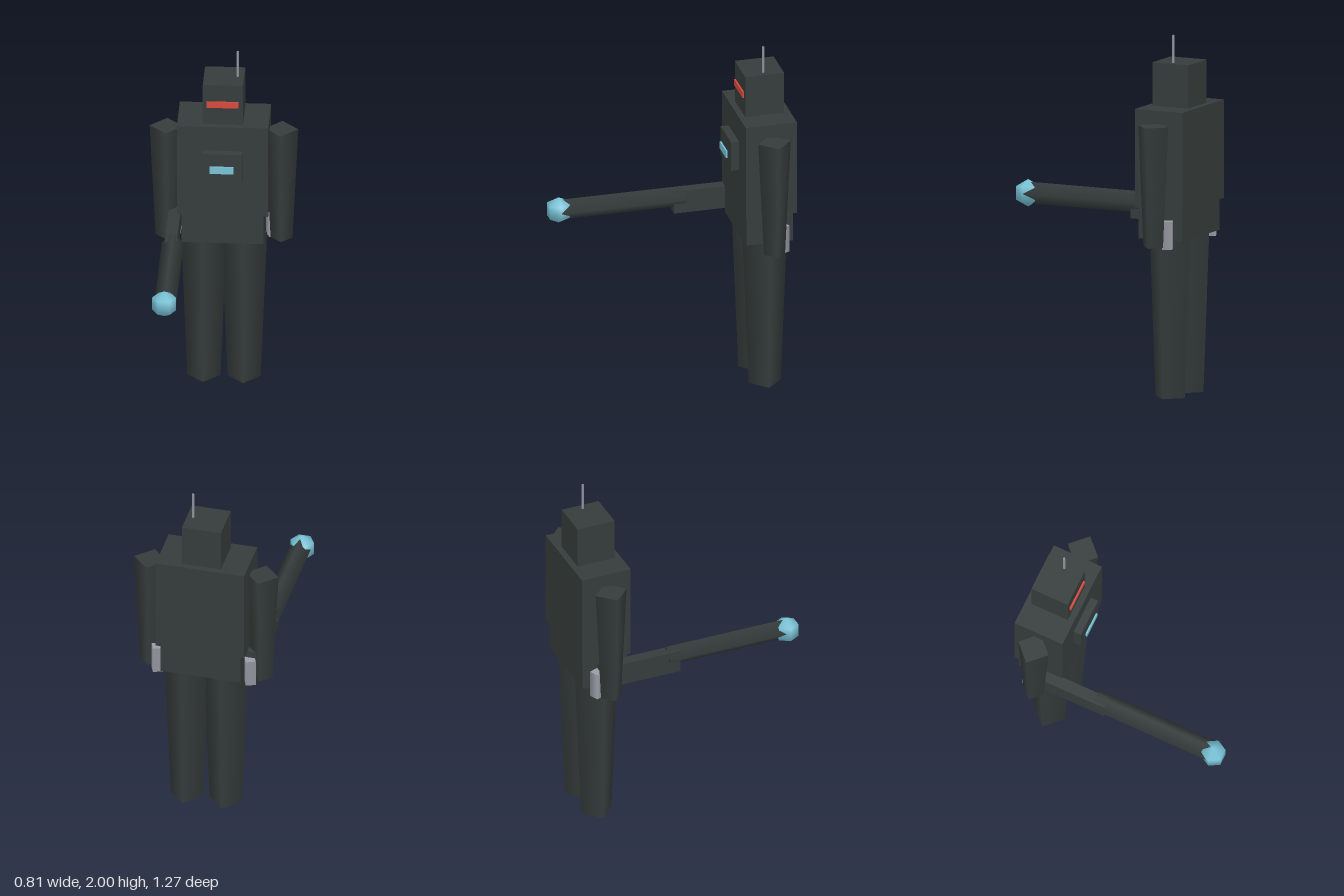
import * as THREE from 'three';

const paint = (name, color) => {
  const m = new THREE.MeshStandardMaterial({ color });
  m.name = name;
  return m;
};

export function createModel() {
  const model = new THREE.Group();
  model.name = 'robot';
  const dark = paint('dark metal', 0x353c3b);
  const grey = paint('light grey metal', 0x9a9ca6);
  const red = paint('visor red', 0xd6493c);
  const blue = paint('energy blue', 0x78c2d6);

  const add = (name, geometry, material, x, y, z) => {
    const mesh = new THREE.Mesh(geometry, material);
    mesh.name = name;
    mesh.position.set(x, y, z);
    model.add(mesh);
    return mesh;
  };
  // Box given by its lower and upper limits on each axis
  const box = (name, material, [x0, x1], [y0, y1], [z0, z1]) =>
    add(name, new THREE.BoxGeometry(x1 - x0, y1 - y0, z1 - z0), material,
      (x0 + x1) / 2, (y0 + y1) / 2, (z0 + z1) / 2);
  // Smooth-shaded four-sided post, corners pointing along x and z
  const post = (name, material, rTop, rBottom, y0, y1, x, z) =>
    add(name, new THREE.CylinderGeometry(rTop, rBottom, y1 - y0, 4), material, x, (y0 + y1) / 2, z);

  const mid = -0.49;

  // Body and head
  box('torso', dark, [-0.25, 0.25], [1.06, 1.605], [-0.635, -0.345]);
  box('pelvis', dark, [-0.225, 0.225], [0.885, 1.06], [-0.62, -0.355]);
  box('head', dark, [-0.11, 0.11], [1.605, 1.845], [-0.6, -0.38]);
  box('visor', red, [-0.088, 0.086], [1.71, 1.746], [-0.379, -0.37]);
  post('antenna', grey, 0.007, 0.007, 1.84, 2, 0.075, mid);

  // Chest panel and its light
  box('chestPanel', dark, [-0.11, 0.11], [1.29, 1.46], [-0.345, -0.3]);
  box('chestLight', blue, [-0.068, 0.064], [1.348, 1.39], [-0.292, -0.283]);

  // Paired limbs and hip pistons
  for (const [side, s] of [['left', 1], ['right', -1]]) {
    post(side + 'Leg', dark, 0.126, 0.091, 0, 0.89, s * 0.11, mid);
    post(side + 'Arm', dark, 0.092, 0.06, 0.86, 1.53, s * 0.315, mid);
    post(side + 'HipPiston', grey, 0.039, 0.039, 0.845, 1, s * 0.262, -0.55).rotation.y = -0.4;
  }

  // Forward-pointing blaster at the right hip
  box('blasterBody', dark, [-0.3, -0.235], [0.905, 1.035], [-0.535, -0.07]);
  add('blasterBarrel', new THREE.CylinderGeometry(0.06, 0.06, 0.71, 4), dark, -0.26, 0.995, 0.217)
    .rotation.x = Math.PI / 2;
  add('blasterTip', new THREE.SphereGeometry(0.076, 6, 3), blue, -0.266, 0.992, 0.575);

  return model;
}
